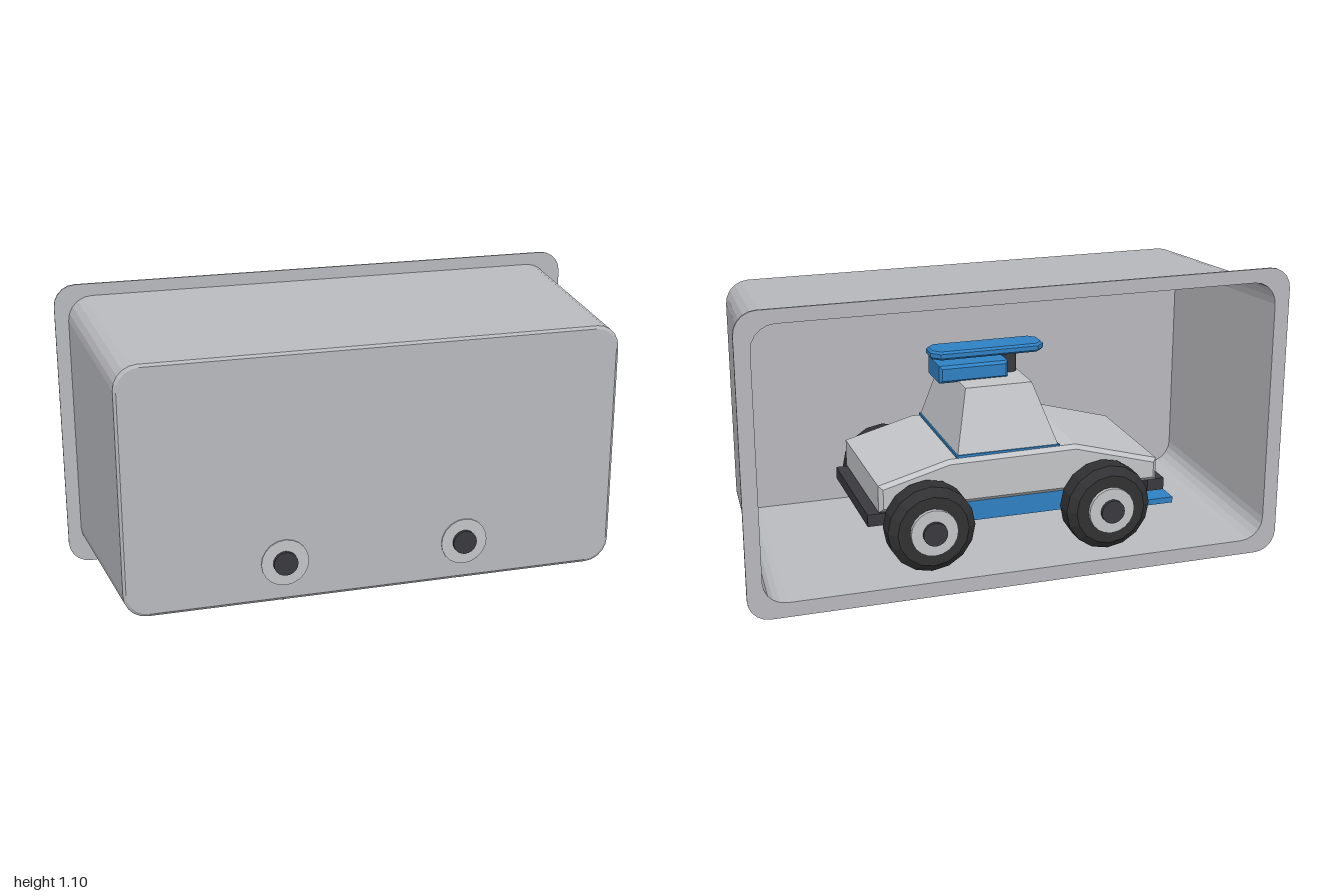
import * as THREE from 'three';

const mat = (name, color) => {
  const m = new THREE.MeshStandardMaterial({ color });
  m.name = name;
  return m;
};

// Faceted copy of a geometry
const flat = (g) => {
  const f = g.index ? g.toNonIndexed() : g;
  f.computeVertexNormals();
  return f;
};

// Rounded rectangle loop, counter-clockwise seen from the front
function ring([hx, y0, y1, r, z]) {
  const pts = [], n = 5;
  const centres = [[hx - r, y0 + r, -1], [hx - r, y1 - r, 0], [-hx + r, y1 - r, 1], [-hx + r, y0 + r, 2]];
  for (const [cx, cy, q] of centres)
    for (let i = 0; i <= n; i++) {
      const a = (q + i / n) * Math.PI / 2;
      pts.push([cx + r * Math.cos(a), cy + r * Math.sin(a), z]);
    }
  return pts;
}

// Joins loops from front to back and closes both ends
function loft(specs) {
  const rings = specs.map(ring), pos = [], n = rings[0].length;
  const tri = (a, b, c) => pos.push(...a, ...b, ...c);
  const mid = (s) => [0, (s[1] + s[2]) / 2, s[4]];
  const first = rings[0], last = rings[rings.length - 1];
  for (let i = 0; i < n; i++) {
    const j = (i + 1) % n;
    tri(mid(specs[0]), first[i], first[j]);
    for (let k = 0; k < rings.length - 1; k++) {
      const a = rings[k], b = rings[k + 1];
      tri(a[i], b[i], b[j]);
      tri(a[i], b[j], a[j]);
    }
    tri(mid(specs[specs.length - 1]), last[j], last[i]);
  }
  const g = new THREE.BufferGeometry();
  g.setAttribute('position', new THREE.Float32BufferAttribute(pos, 3));
  g.computeVertexNormals();
  return g;
}

// Outline extruded evenly about its own plane, with a small bevel
function slab(points, depth, bevel) {
  const shape = new THREE.Shape(points.map(([x, y]) => new THREE.Vector2(x, y)));
  const g = new THREE.ExtrudeGeometry(shape, {
    depth: depth - 2 * bevel, bevelEnabled: true, bevelSize: bevel, bevelOffset: -bevel,
    bevelThickness: bevel, bevelSegments: 1, curveSegments: 8,
  });
  return g.translate(0, 0, -depth / 2 + bevel);
}

export function createModel() {
  const root = new THREE.Group();
  root.name = 'carInTray';
  const trayGrey = mat('trayGrey', 0xb8b9bd);
  const bodyGrey = mat('bodyGrey', 0xc2c4c7);
  const blue = mat('blue', 0x2f80c2);
  const dark = mat('darkGrey', 0x3a3a3e);
  const tyreBlack = mat('tyreBlack', 0x313133);

  const add = (parent, name, geo, material, x = 0, y = 0, z = 0) => {
    const m = new THREE.Mesh(geo, material);
    m.name = name;
    m.position.set(x, y, z);
    parent.add(m);
    return m;
  };
  const box = (parent, name, material, x0, x1, y0, y1, w) =>
    add(parent, name, new THREE.BoxGeometry(x1 - x0, y1 - y0, w), material, (x0 + x1) / 2, (y0 + y1) / 2, 0);

  // Tray: closed front, tapered walls, flange around the open back
  add(root, 'tray', loft([
    [0.895, 0.11, 1.0, 0.08, 0.385],
    [0.905, 0.1, 1.01, 0.085, 0.378],
    [0.95, 0.05, 1.055, 0.09, -0.377],
    [1, 0, 1.1, 0.08, -0.377],
    [1, 0, 1.1, 0.08, -0.385],
    [0.945, 0.055, 1.05, 0.085, -0.385],
    [0.9, 0.105, 1.005, 0.08, 0.375],
  ]), trayGrey);

  const car = new THREE.Group();
  car.name = 'car';
  root.add(car);

  // Body shell and chassis
  add(car, 'body', flat(slab([
    [-0.56, 0.29], [0.5, 0.29], [0.5, 0.39], [0.24, 0.46], [-0.24, 0.465], [-0.56, 0.375],
  ], 0.53, 0.015)), bodyGrey);
  box(car, 'sills', blue, -0.5, 0.45, 0.215, 0.29, 0.5);
  box(car, 'underPlate', dark, -0.46, 0.42, 0.2, 0.22, 0.4);

  // Bumpers and front splitter
  box(car, 'frontBumper', dark, -0.595, -0.53, 0.245, 0.29, 0.5);
  box(car, 'rearBumper', dark, 0.46, 0.54, 0.24, 0.285, 0.5);
  box(car, 'frontSplitter', blue, -0.62, -0.5, 0.2, 0.222, 0.56);

  // Cabin: a box narrowed toward the roof
  box(car, 'cabinTrim', blue, -0.18, 0.21, 0.455, 0.47, 0.5);
  const cabin = new THREE.BoxGeometry(1, 1, 1);
  const p = cabin.attributes.position;
  for (let i = 0; i < p.count; i++) {
    const top = p.getY(i) > 0;
    const x = p.getX(i) > 0 ? (top ? 0.15 : 0.205) : (top ? -0.1 : -0.175);
    p.setXYZ(i, x, top ? 0.69 : 0.468, Math.sign(p.getZ(i)) * (top ? 0.165 : 0.245));
  }
  add(car, 'cabin', flat(cabin), bodyGrey);

  // Roof unit with a long blade carried on a short post
  add(car, 'roofBlock', flat(slab([[-0.04, 0.685], [0.22, 0.685], [0.22, 0.75], [-0.04, 0.75]], 0.16, 0.01)), blue);
  add(car, 'roofPost', new THREE.CylinderGeometry(0.03, 0.03, 0.09, 12), dark, -0.065, 0.73, 0);
  const blade = slab([
    [-0.19, -0.03], [-0.16, -0.06], [0.21, -0.06], [0.24, -0.03],
    [0.24, 0.03], [0.21, 0.06], [-0.16, 0.06], [-0.19, 0.03],
  ], 0.032, 0.008).rotateX(Math.PI / 2);
  add(car, 'roofBlade', flat(blade), blue, 0, 0.782, 0);

  // Wheels: chamfered tyre, rim disc and hub
  const tyre = flat(new THREE.LatheGeometry([
    [0.06, -0.06], [0.13, -0.06], [0.16, -0.035], [0.16, 0.035], [0.13, 0.06], [0.08, 0.06],
  ].map(([x, y]) => new THREE.Vector2(x, y)), 16).rotateX(Math.PI / 2));
  const disc = (r, len) => new THREE.CylinderGeometry(r, r, len, 20).rotateX(Math.PI / 2);
  const rim = disc(0.086, 0.14), hub = disc(0.044, 0.163);
  for (const x of [-0.333, 0.333]) {
    for (const side of [-1, 1]) {
      const wheel = new THREE.Group();
      wheel.name = (x < 0 ? 'front' : 'rear') + 'Wheel';
      wheel.position.set(x, 0.245, 0);
      car.add(wheel);
      add(wheel, 'tyre', tyre, tyreBlack, 0, 0, side * 0.315);
      add(wheel, 'rim', rim, bodyGrey, 0, 0, side * 0.32);
      add(wheel, 'hub', hub, dark, 0, 0, side * 0.3215);
    }
    add(car, 'axle', disc(0.03, 0.5), dark, x, 0.245, 0);
  }
  return root;
}
